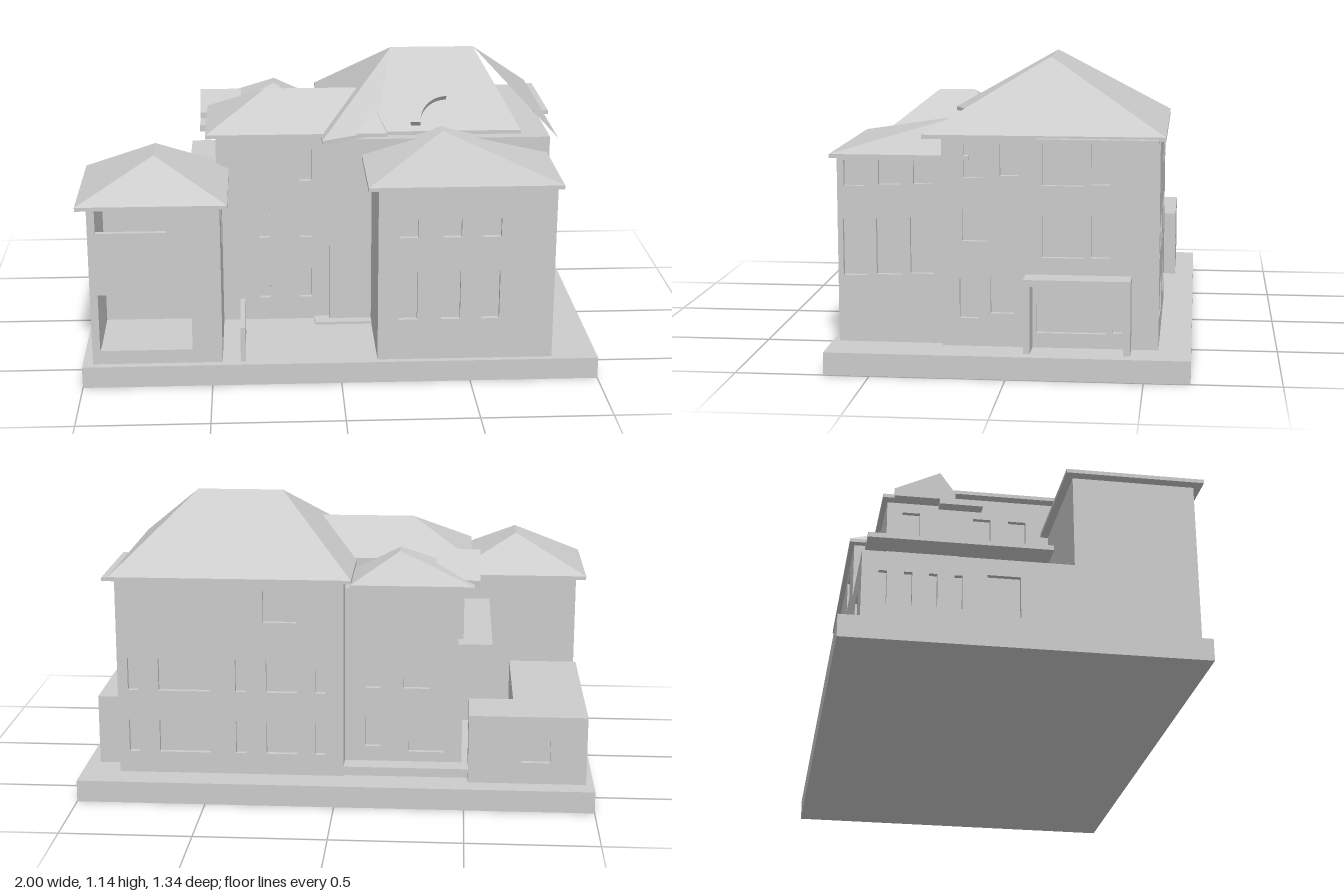
import * as THREE from 'three';

const plaster = new THREE.MeshStandardMaterial({ color: 0xcccccc });
plaster.name = 'plain plaster';
const T = 0.02; // wall thickness

function add(parent, name, geometry) {
  const mesh = new THREE.Mesh(geometry, plaster);
  mesh.name = name;
  parent.add(mesh);
  return mesh;
}

function box(parent, name, x0, x1, y0, y1, z0, z1) {
  const g = new THREE.BoxGeometry(x1 - x0, y1 - y0, z1 - z0);
  g.translate((x0 + x1) / 2, (y0 + y1) / 2, (z0 + z1) / 2);
  return add(parent, name, g);
}

// Wall panel in (u, y) with window holes given as [u0, u1, y0, y1]
function panel(u0, u1, y0, y1, holes) {
  const rect = (P, a, b, c, d) => {
    const p = new P();
    p.moveTo(a, c); p.lineTo(b, c); p.lineTo(b, d); p.lineTo(a, d); p.closePath();
    return p;
  };
  const shape = rect(THREE.Shape, u0, u1, y0, y1);
  holes.forEach(h => shape.holes.push(rect(THREE.Path, ...h)));
  return new THREE.ExtrudeGeometry(shape, { depth: T, bevelEnabled: false });
}

// Four pierced walls around a solid core, so that the windows are recessed
function block(parent, name, [x0, x1], [y0, y1], [z0, z1], windows = {}, hollow = false) {
  const g = new THREE.Group();
  g.name = name;
  parent.add(g);
  const { front = [], back = [], left = [], right = [] } = windows;
  add(g, 'frontWall', panel(x0, x1, y0, y1, front).translate(0, 0, z1 - T));
  add(g, 'backWall', panel(x0, x1, y0, y1, back).translate(0, 0, z0));
  add(g, 'leftWall', panel(z0, z1, y0, y1, left).rotateY(-Math.PI / 2).translate(x1, 0, 0));
  add(g, 'rightWall', panel(z0, z1, y0, y1, right).rotateY(-Math.PI / 2).translate(x0 + T, 0, 0));
  if (hollow) box(g, 'ceiling', x0 + T, x1 - T, y1 - T, y1, z0 + T, z1 - T);
  else box(g, 'core', x0 + T, x1 - T, y0, y1, z0 + T, z1 - T);
  return g;
}

// Roof from an eave ring, ridge points and sloping faces; adds fascia and soffit
function roof(parent, name, ring, ridge, faces, drop = 0.015) {
  const pts = [...ring, ...ridge].map(p => new THREE.Vector3(...p));
  const n = ring.length;
  const low = pts.slice(0, n).map(p => new THREE.Vector3(p.x, p.y - drop, p.z));
  const centre = new THREE.Vector3();
  pts.forEach(p => centre.addScaledVector(p, 1 / pts.length));
  centre.y = ring[0][1] - drop / 2;
  const pos = [];
  const face = poly => {
    for (let i = 1; i < poly.length - 1; i++) {
      let [a, b, c] = [poly[0], poly[i], poly[i + 1]];
      const nrm = b.clone().sub(a).cross(c.clone().sub(a));
      if (nrm.dot(a.clone().sub(centre)) < 0) [b, c] = [c, b];
      [a, b, c].forEach(v => pos.push(v.x, v.y, v.z));
    }
  };
  faces.forEach(f => face(f.map(i => pts[i])));
  for (let i = 0; i < n; i++) {
    const j = (i + 1) % n;
    face([pts[i], pts[j], low[j], low[i]]);
  }
  const flat = low.map(p => new THREE.Vector2(p.x, p.z));
  THREE.ShapeUtils.triangulateShape(flat, []).forEach(t => face(t.map(i => low[i])));
  const g = new THREE.BufferGeometry();
  g.setAttribute('position', new THREE.Float32BufferAttribute(pos, 3));
  g.computeVertexNormals();
  return add(parent, name, g);
}

// Hip roof on a rectangle; the ridge runs along x or z between points a and b
function hip(parent, name, [x0, x1], [z0, z1], y, a, b) {
  const ring = [[x0, y, z0], [x1, y, z0], [x1, y, z1], [x0, y, z1]];
  const alongX = a[2] === b[2];
  const faces = alongX
    ? [[0, 1, 5, 4], [1, 2, 5], [2, 3, 4, 5], [3, 0, 4]]
    : [[0, 1, 4], [1, 2, 5, 4], [2, 3, 5], [3, 0, 4, 5]];
  return roof(parent, name, ring, [a, b], faces);
}

export function createModel() {
  const house = new THREE.Group();
  house.name = 'house';
  const G = 0.085;
  box(house, 'base', -1, 1, 0, G, -0.67, 0.67);

  // Tower with a large open bay at the front
  block(house, 'tower', [-0.96, -0.46], [G, 0.725], [0.18, 0.64], {
    front: [[-0.93, -0.575, 0.14, 0.37], [-0.93, -0.665, 0.62, 0.715]],
    left: [[0.36, 0.46, 0.5, 0.68]],
  }, true);
  hip(house, 'towerRoof', [-1, -0.43], [0.15, 0.67], 0.735, [-0.71, 0.88, 0.33], [-0.71, 0.88, 0.49]);
  box(house, 'gardenWall', -0.39, -0.37, G, 0.225, 0.34, 0.64);

  // Low flat-roofed annex behind the tower
  block(house, 'annexSide', [-0.97, -0.69], [G, 0.355], [-0.59, 0.18], {
    right: [[-0.53, -0.5, 0.15, 0.28], [-0.44, -0.41, 0.15, 0.28], [-0.35, -0.32, 0.15, 0.28],
      [-0.26, -0.23, 0.15, 0.28], [-0.14, -0.02, 0.13, 0.29]],
    back: [[-0.83, -0.72, 0.17, 0.26]],
  });
  box(house, 'annexRear', -0.7, -0.515, G, 0.355, -0.59, -0.365);

  // Middle block
  const rows = [[0.68, 0.81], [0.44, 0.57], [0.18, 0.305]];
  block(house, 'middleBlock', [-0.48, 0.1], [G, 0.87], [-0.2, 0.22], {
    front: [...rows.map(r => [-0.15, -0.1, ...r]),
      [-0.31, -0.27, 0.44, 0.57], [-0.31, -0.27, 0.18, 0.305],
      [0.04, 0.085, 0.68, 0.81], [0.04, 0.085, 0.435, 0.56], [0.02, 0.085, 0.155, 0.305]],
    right: [[-0.12, -0.05, 0.68, 0.78], [0.02, 0.09, 0.68, 0.78],
      [-0.12, -0.05, 0.42, 0.56], [0.02, 0.09, 0.42, 0.56]],
  });
  hip(house, 'middleRoof', [-0.52, 0.2], [-0.2, 0.24], 0.88, [-0.28, 1.01, 0.02], [0.12, 1.01, 0.02]);
  box(house, 'frontStep', -0.09, 0.15, G, 0.096, 0.21, 0.29);

  // Rear block with its small roof, gabled dormer and canopy
  block(house, 'rearBlock', [-0.49, -0.02], [G, 0.82], [-0.46, -0.18], {
    back: [[-0.17, -0.11, 0.42, 0.56], [-0.36, -0.26, 0.42, 0.56],
      [-0.17, -0.11, 0.18, 0.3], [-0.42, -0.28, 0.16, 0.28]],
    right: [[-0.4, -0.33, 0.68, 0.78]],
  });
  hip(house, 'rearRoof', [-0.53, -0.05], [-0.48, -0.2], 0.835, [-0.24, 0.95, -0.375], [-0.24, 0.95, -0.295]);
  roof(house, 'dormerRoof',
    [[-0.55, 0.85, -0.44], [-0.38, 0.85, -0.4], [-0.38, 0.85, -0.2], [-0.55, 0.85, -0.2]],
    [[-0.55, 0.935, -0.26], [-0.38, 0.935, -0.26]],
    [[0, 1, 5, 4], [1, 2, 5], [2, 3, 4, 5], [3, 0, 4]], 0.03);
  box(house, 'dormerEave', -0.55, -0.5, 0.8, 0.825, -0.26, -0.09);
  box(house, 'canopy', -0.6, -0.47, 0.605, 0.625, -0.54, 0.19);
  box(house, 'rearPlinth', -0.515, -0.02, G, 0.12, -0.54, -0.45);

  // Main block
  block(house, 'mainBlock', [-0.03, 0.85], [G, 0.86], [-0.55, 0.25], {
    left: [[0.09, 0.17, 0.715, 0.838], [-0.035, 0.035, 0.725, 0.842], [0.08, 0.175, 0.48, 0.597],
      [0.115, 0.185, 0.19, 0.34], [-0.015, 0.07, 0.21, 0.35],
      [-0.275, -0.12, 0.69, 0.845], [-0.37, -0.3, 0.695, 0.848],
      [-0.275, -0.12, 0.423, 0.582], [-0.37, -0.3, 0.425, 0.585],
      [-0.355, -0.1, 0.14, 0.245], [-0.415, -0.38, 0.145, 0.25]],
    back: [[0.15, 0.28, 0.7, 0.83],
      ...[[0.42, 0.55], [0.17, 0.3]].flatMap(r => [[0.77, 0.81, ...r], [0.49, 0.69, ...r],
        [0.35, 0.39, ...r], [0.15, 0.27, ...r], [0.04, 0.08, ...r]])],
  });
  // Main roof: hipped, with a steep front slope set back behind the front wing
  const e = 0.875;
  roof(house, 'mainRoof',
    [[-0.06, e, -0.57], [0.87, e, -0.57], [0.87, e, 0.32], [0.74, e, 0.2], [0.16, e, 0.2], [-0.06, e, 0.32]],
    [[0.24, 1.14, -0.13], [0.58, 1.14, -0.13]],
    [[0, 1, 7, 6], [1, 2, 7], [2, 3, 7], [3, 4, 6, 7], [4, 5, 6], [5, 0, 6]]);
  box(house, 'sideEave', 0.84, 0.9, 0.853, 0.867, -0.545, -0.1);

  // Curved strip lying on the front slope
  const arc = new THREE.Shape();
  arc.absellipse(0, 0, 0.15, 0.17, Math.PI / 2, Math.PI, false);
  arc.lineTo(-0.112, 0);
  arc.absellipse(0, 0, 0.112, 0.125, Math.PI, Math.PI / 2, true);
  arc.closePath();
  const strip = add(house, 'roofArch', new THREE.ExtrudeGeometry(arc, { depth: 0.03, bevelEnabled: false, curveSegments: 10 }));
  strip.rotation.x = -Math.atan2(0.33, 0.265);
  strip.position.set(0.45, 0.888, 0.174);

  // Front wing
  const cols = [[0.22, 0.292], [0.385, 0.458], [0.54, 0.61]];
  block(house, 'frontWing', [0.14, 0.82], [G, 0.785], [0.2, 0.645], {
    front: cols.flatMap(c => [[...c, 0.585, 0.66], [...c, 0.25, 0.447]]),
    left: [[0.545, 0.62, 0.675, 0.77], [0.405, 0.49, 0.682, 0.775], [0.285, 0.36, 0.685, 0.775],
      [0.535, 0.63, 0.338, 0.55], [0.405, 0.5, 0.343, 0.556], [0.285, 0.373, 0.348, 0.56]],
  });
  hip(house, 'frontWingRoof', [0.1, 0.84], [0.15, 0.67], 0.795, [0.42, 0.89, 0.15], [0.42, 0.89, 0.25]);

  // Side porch: two piers and a flat roof
  box(house, 'porchRoof', 0.84, 0.95, 0.335, 0.36, -0.45, -0.06);
  for (const z of [-0.45, -0.085]) box(house, 'porchPier', 0.84, 0.95, G, 0.336, z, z + 0.025);

  return house;
}
